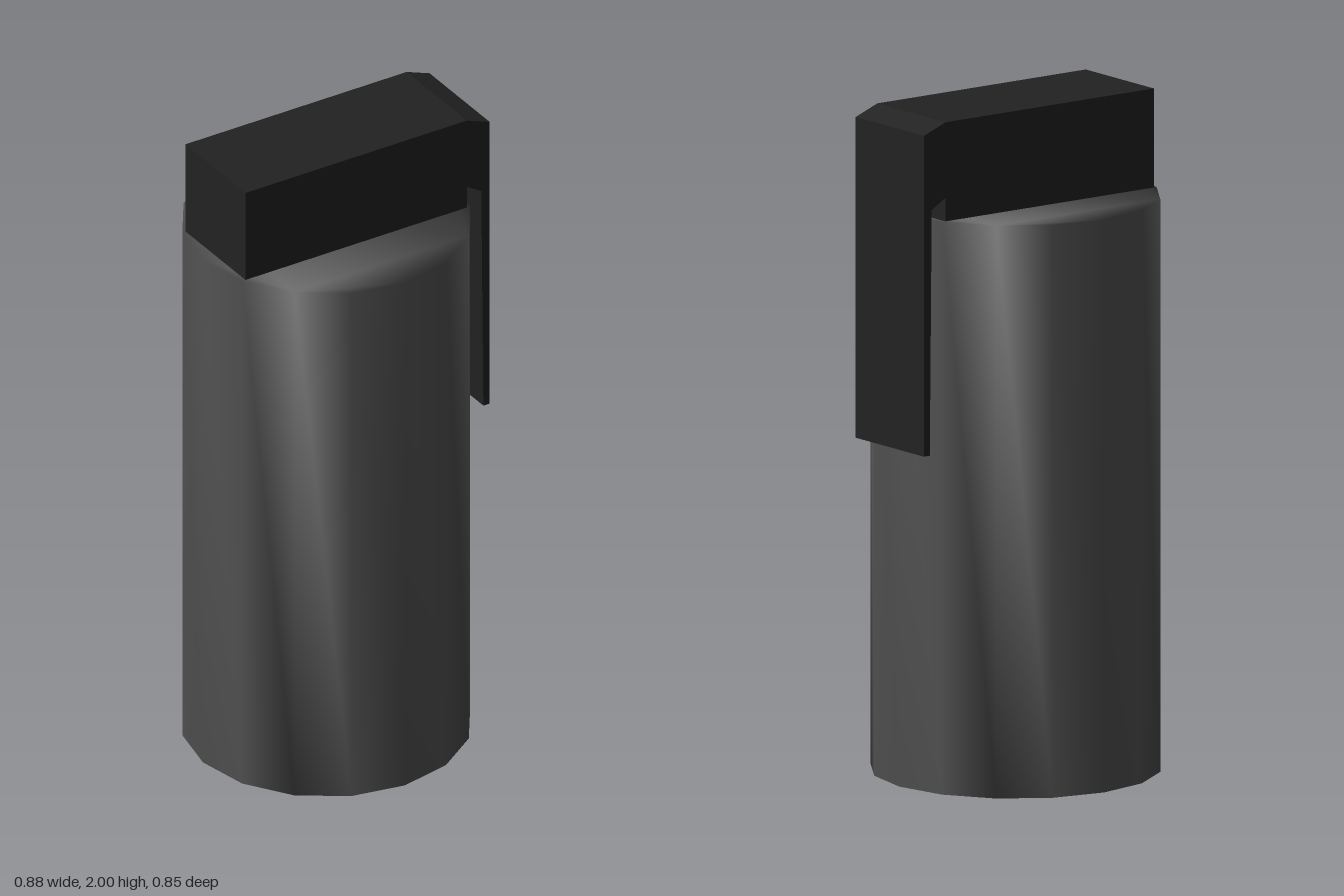
import * as THREE from 'three';
import { mergeVertices } from 'three/addons/utils/BufferGeometryUtils.js';

const shapeOf = (pts) => new THREE.Shape(pts.map(([x, y]) => new THREE.Vector2(x, y)));

export function createModel() {
  const group = new THREE.Group();

  // Sixteen-sided body, with normals shared between wall and caps
  const radius = 0.425, ring = [];
  for (let i = 0; i < 16; i++) {
    const a = (i / 16) * Math.PI * 2;
    ring.push([radius * Math.cos(a), radius * Math.sin(a)]);
  }
  let bodyGeo = new THREE.ExtrudeGeometry(shapeOf(ring), { depth: 1.705, bevelEnabled: false });
  bodyGeo.rotateX(-Math.PI / 2);
  bodyGeo.deleteAttribute('normal');
  bodyGeo.deleteAttribute('uv');
  bodyGeo = mergeVertices(bodyGeo, 1e-4);
  bodyGeo.computeVertexNormals();
  const body = new THREE.Mesh(bodyGeo, new THREE.MeshStandardMaterial({ color: 0x505050 }));
  body.name = 'body';
  body.position.x = -0.018;
  group.add(body);

  // Cap block with a bent strip hanging down the side, as one profile
  const profile = [
    [-0.4, 1.703], [0.363, 1.703], [0.363, 1.775], [0.413, 1.745],
    [0.42, 1.015], [0.442, 1.015], [0.442, 1.97], [0.363, 2], [-0.4, 2],
  ];
  const width = 0.326;
  const clipGeo = new THREE.ExtrudeGeometry(shapeOf(profile), { depth: width, bevelEnabled: false });
  clipGeo.translate(0, 0, -width / 2);
  const clip = new THREE.Mesh(clipGeo, new THREE.MeshStandardMaterial({ color: 0x222222, flatShading: true }));
  clip.name = 'capAndClip';
  group.add(clip);

  return group;
}
